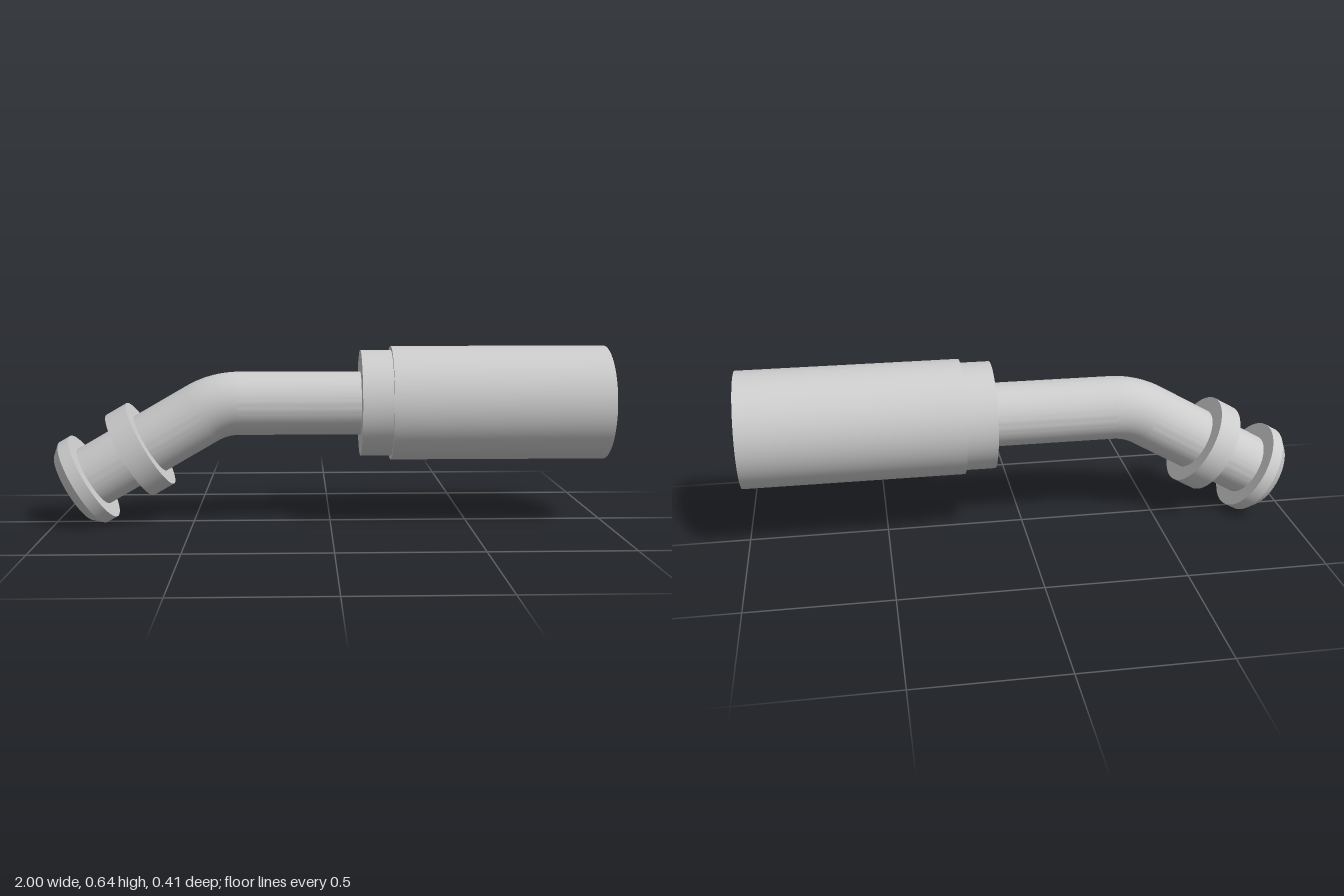
import * as THREE from 'three';
import { toCreasedNormals } from 'three/addons/utils/BufferGeometryUtils.js';

const AXIS_Y = 0.435;      // height of the straight run
const TUBE_R = 0.115;
const BORE_R = 0.058;
const BEND_R = 0.27;
const BEND_X = -0.33;      // where the bend starts
const BEND = Math.PI / 6;

// Turned part: profile of [radius, distance along axis], counterclockwise
function turned(name, profile, angle, x, y) {
  const pts = profile.map(([r, d]) => new THREE.Vector2(r, d));
  const geo = toCreasedNormals(new THREE.LatheGeometry(pts, 96), 0.35);
  const mesh = new THREE.Mesh(geo, new THREE.MeshStandardMaterial({ color: 0xcccccc }));
  mesh.name = name;
  mesh.rotation.z = angle;
  mesh.position.set(x, y, 0);
  return mesh;
}

// Curved section of the tube, outer wall or bore
function bend(name, radius, side) {
  const geo = new THREE.TorusGeometry(BEND_R, radius, 96, 20, BEND);
  const mesh = new THREE.Mesh(geo, new THREE.MeshStandardMaterial({ color: 0xcccccc, side }));
  mesh.name = name;
  mesh.rotation.z = Math.PI / 2;
  mesh.position.set(BEND_X, AXIS_Y - BEND_R, 0);
  return mesh;
}

export function createModel() {
  const group = new THREE.Group();
  group.name = 'bentHoseFitting';

  // Crimp sleeve with its smaller collar and tapered socket
  group.add(turned('crimpSleeve', [
    [TUBE_R - 0.01, 0.11], [0.193, 0.11], [0.193, 0.22], [0.207, 0.22],
    [0.207, 1], [0.19, 1], [0.163, 0.24], [0.1, 0.24],
  ], -Math.PI / 2, 0, AXIS_Y));

  // Straight tube running into the tapered nipple, bored through
  group.add(turned('straightTube', [
    [TUBE_R, BEND_X], [TUBE_R, 0.17], [0.106, 0.17], [0.106, 0.24],
    [0.085, 0.99], [BORE_R, 0.99], [BORE_R, BEND_X],
  ], -Math.PI / 2, 0, AXIS_Y));

  // Elbow
  group.add(bend('elbow', TUBE_R, THREE.FrontSide));
  group.add(bend('elbowBore', BORE_R, THREE.BackSide));

  // Angled end with stop ring and chamfered end flange
  group.add(turned('flangedEnd', [
    [BORE_R, 0], [BORE_R, 0.538], [0.14, 0.538], [0.17, 0.503], [0.17, 0.458],
    [TUBE_R, 0.458], [TUBE_R, 0.303], [0.17, 0.303], [0.17, 0.218],
    [TUBE_R, 0.218], [TUBE_R, 0],
  ].reverse(), Math.PI / 2 + BEND,
  BEND_X - BEND_R * Math.sin(BEND), AXIS_Y - BEND_R * (1 - Math.cos(BEND))));

  return group;
}
